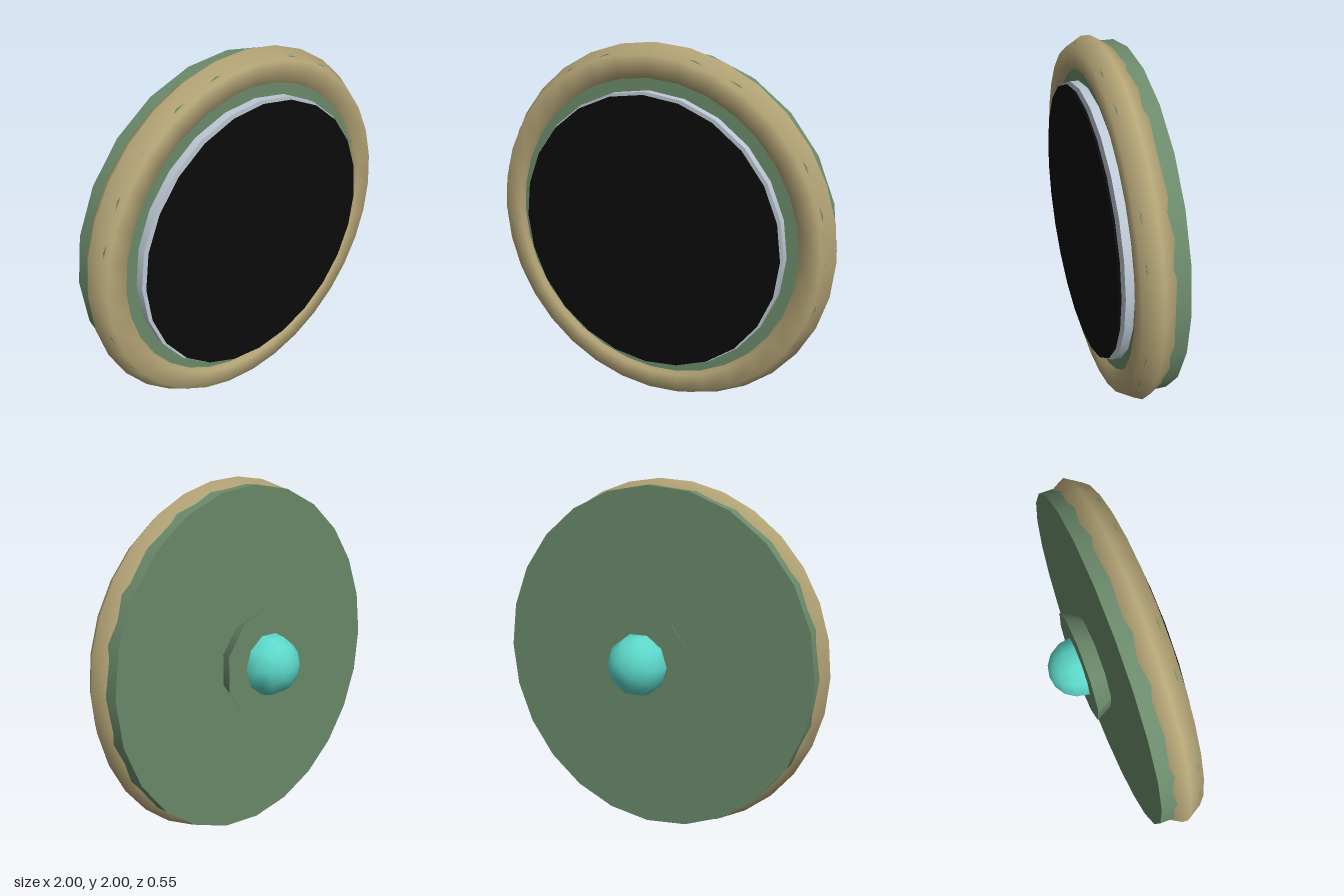
import * as THREE from 'three';

export function createModel() {
  const model = new THREE.Group();
  const mat = (color) => new THREE.MeshStandardMaterial({ color });
  const green = mat(0x6b8a6b), tan = mat(0xb5a577), silver = mat(0xbcc8d4);
  const black = mat(0x0b0b0b), teal = mat(0x5cd8ca);

  const add = (name, geometry, material, z) => {
    const mesh = new THREE.Mesh(geometry, material);
    mesh.name = name;
    mesh.position.set(0, 1, z);
    model.add(mesh);
  };

  // Round slab along z, from zBack to zFront
  const disc = (name, rBack, rFront, zBack, zFront, sides, material) => {
    const g = new THREE.CylinderGeometry(rFront, rBack, zFront - zBack, sides);
    g.rotateX(Math.PI / 2);
    add(name, g, material, (zBack + zFront) / 2);
  };

  // Main body and the padded rim around it
  disc('body', 0.963, 0.963, -0.007, 0.2, 24, green);
  add('rim', new THREE.TorusGeometry(0.896, 0.104, 6, 32), tan, 0.135);

  // Front panel: pale backing with a dark face floating just ahead of it
  disc('panelBacking', 0.768, 0.768, 0.19, 0.245, 24, silver);
  disc('panelFace', 0.755, 0.755, 0.262, 0.274, 24, black);

  // Flared mount and domed knob on the back
  disc('backMount', 0.32, 0.267, -0.1, 0, 10, green);
  const knob = new THREE.SphereGeometry(0.175, 10, 8);
  knob.rotateX(Math.PI / 2);
  add('backKnob', knob, teal, -0.099);

  return model;
}
